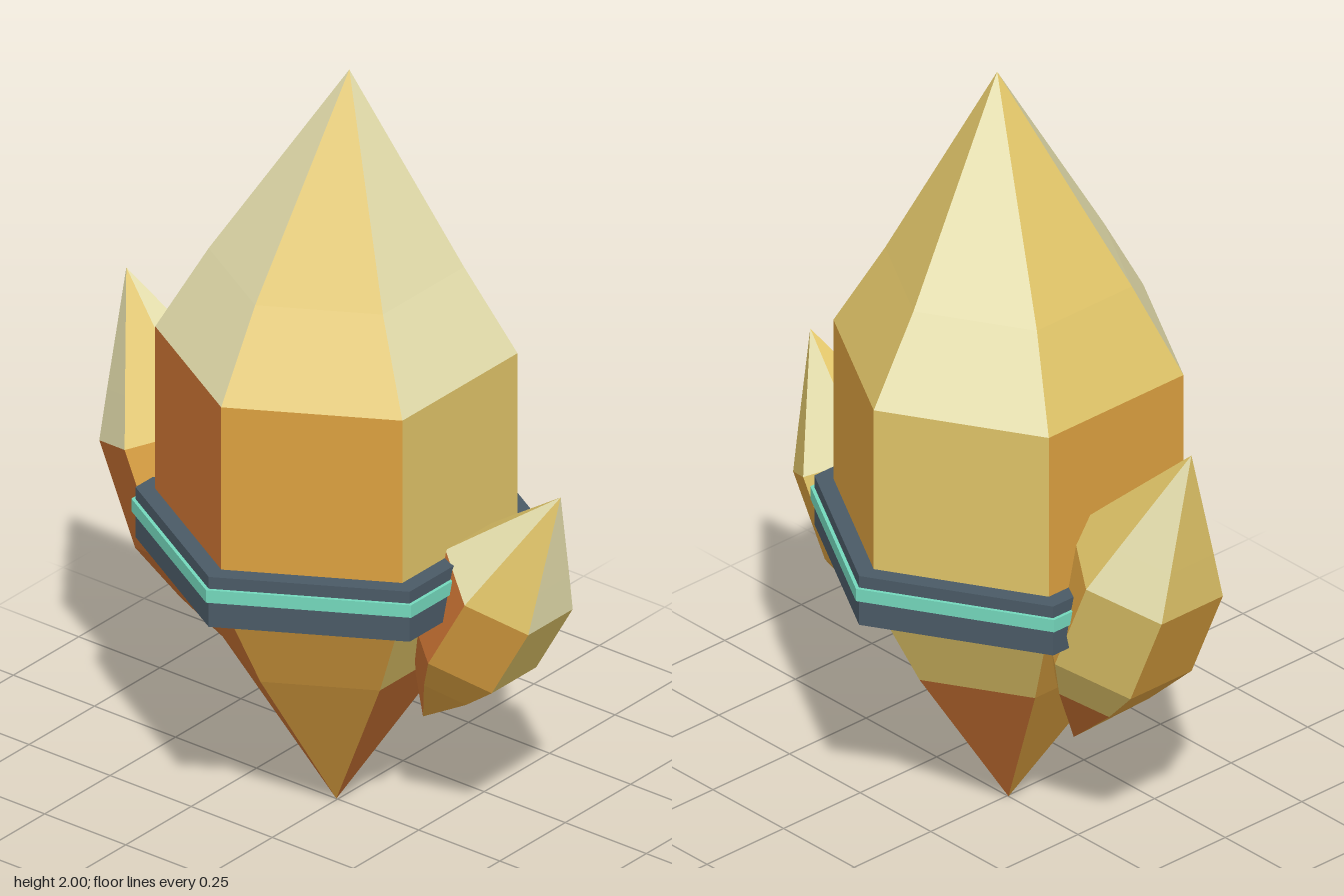
import * as THREE from 'three';

const mat = (name, color) => Object.assign(new THREE.MeshStandardMaterial({ color }), { name });

// Facet colours, indexed by the pattern below
const crystalMaterials = [
  mat('cream', 0xefe8b4),
  mat('gold', 0xe0c468),
  mat('amber', 0xdca140),
  mat('orange', 0xc97233),
];
const slate = mat('slate', 0x4a5a66);
const teal = mat('teal', 0x74d8bc);

// Cross-sections of a crystal of height 1 and radius 1: [y, radius]
const rings = [[0, 0], [0.22, 0.66], [0.36, 1], [0.625, 1], [0.737, 0.705], [1, 0]];

// Per side, counted from front-left of the model round the back: colour of each band from the bottom up
const pattern = [
  [2, 2, 2, 1, 1],
  [3, 1, 1, 0, 0],
  [2, 2, 2, 1, 1],
  [3, 1, 1, 0, 0],
  [2, 2, 2, 1, 1],
  [3, 3, 3, 0, 0],
];

// Six-sided double-pointed crystal; lean shifts the upper point sideways
function crystal(name, radius, height, lean = 0) {
  const point = (ring, side) => {
    const [y, r] = rings[ring];
    const a = side * Math.PI / 3;
    const shift = ring === rings.length - 1 ? lean : 0;
    return [Math.sin(a) * r * radius + shift, y * height, Math.cos(a) * r * radius];
  };
  const positions = [];
  const geometry = new THREE.BufferGeometry();
  pattern.forEach((bands, side) => bands.forEach((colour, band) => {
    const start = positions.length / 3;
    const a = point(band, side), b = point(band, side + 1);
    const c = point(band + 1, side + 1), d = point(band + 1, side);
    if (band > 0) positions.push(...a, ...b, ...d);
    if (band < rings.length - 2) positions.push(...b, ...c, ...d);
    geometry.addGroup(start, positions.length / 3 - start, colour);
  }));
  geometry.setAttribute('position', new THREE.Float32BufferAttribute(positions, 3));
  geometry.computeVertexNormals();
  const mesh = new THREE.Mesh(geometry, crystalMaterials);
  mesh.name = name;
  return mesh;
}

// Hexagonal collar piece between two heights
function collar(name, radius, bottom, top, material) {
  const geometry = new THREE.CylinderGeometry(radius, radius, top - bottom, 6).toNonIndexed();
  geometry.computeVertexNormals();
  const mesh = new THREE.Mesh(geometry, material);
  mesh.name = name;
  mesh.position.set(-0.004, (top + bottom) / 2, 0);
  return mesh;
}

export function createModel() {
  const model = new THREE.Group();
  model.name = 'crystalCluster';

  // Main crystal
  const main = crystal('mainCrystal', 0.44, 2, 0.04);
  main.position.x = -0.004;

  // Side shards, tilted outwards from their lower points
  const rightShard = crystal('rightShard', 0.2, 1.05);
  rightShard.position.set(-0.235, 0.265, 0);
  rightShard.rotation.z = 0.408;

  const leftShard = crystal('leftShard', 0.17, 0.853);
  leftShard.position.set(0.235, 0.29, -0.035);
  leftShard.rotation.z = -0.521;

  // Metal collar with a bright inlay
  model.add(
    main, rightShard, leftShard,
    collar('collar', 0.488, 0.672, 0.808, slate),
    collar('collarInlay', 0.498, 0.742, 0.776, teal),
  );
  return model;
}
